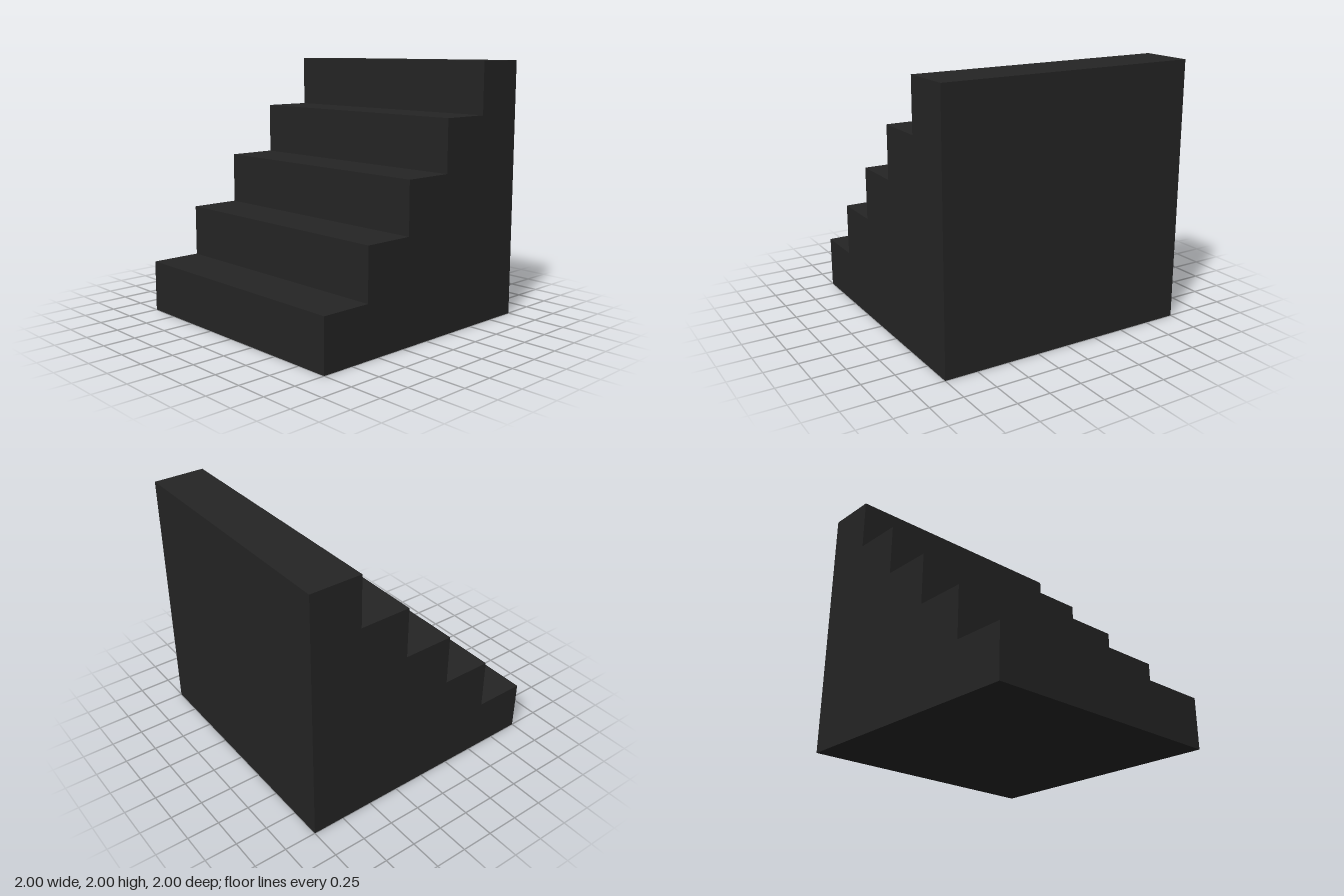
import * as THREE from 'three';

const STEPS = 5;
const SIZE = 2;

export function createModel() {
  const group = new THREE.Group();
  group.name = 'staircase';

  // Side profile: shape x becomes depth (z), shape y stays height
  const step = SIZE / STEPS;
  const half = SIZE / 2;
  const profile = new THREE.Shape();
  profile.moveTo(-half, 0);
  profile.lineTo(half, 0);
  for (let i = 0; i < STEPS; i++) {
    const riserZ = half - i * step;
    const treadY = (i + 1) * step;
    profile.lineTo(riserZ, treadY); // riser
    profile.lineTo(riserZ - step, treadY); // tread
  }
  profile.closePath();

  // Solid flight of steps, extruded across the full width
  const geometry = new THREE.ExtrudeGeometry(profile, { depth: SIZE, bevelEnabled: false });
  geometry.translate(0, 0, -half);
  geometry.rotateY(-Math.PI / 2);

  const material = new THREE.MeshStandardMaterial({ color: 0x242424 });
  const steps = new THREE.Mesh(geometry, material);
  steps.name = 'steps';
  group.add(steps);
  return group;
}
